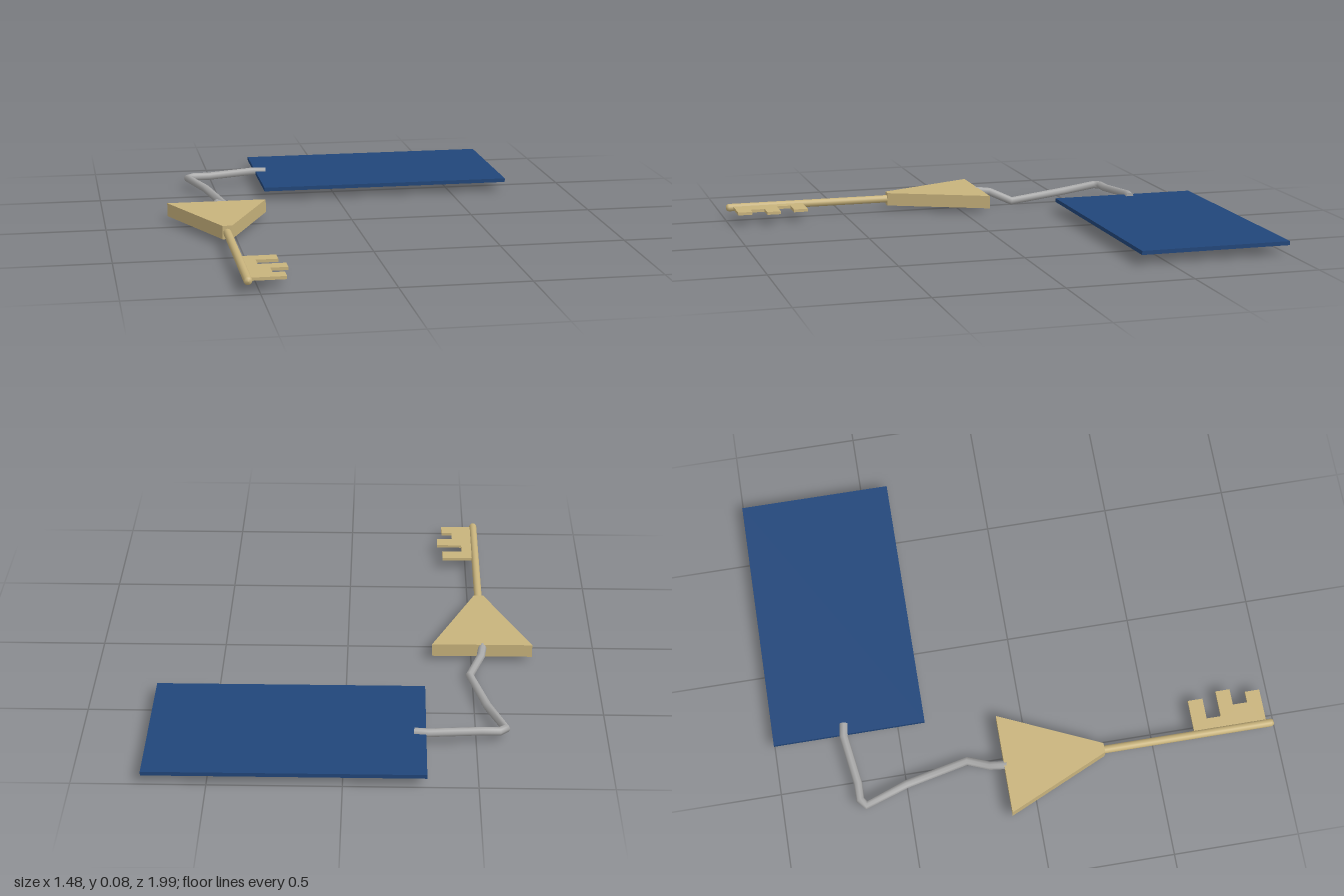
import * as THREE from 'three';

const material = (name, color, options = {}) => {
  const m = new THREE.MeshStandardMaterial({ color, ...options });
  m.name = name;
  return m;
};

export function createModel() {
  const group = new THREE.Group();
  const brass = material('brass', 0xc8b37c);
  const blue = material('blue', 0x21467a);
  const grey = material('grey', 0xa8a8a8);

  const add = (name, geometry, mat, x = 0, y = 0, z = 0) => {
    const mesh = new THREE.Mesh(geometry, mat);
    mesh.name = name;
    mesh.position.set(x, y, z);
    group.add(mesh);
    return mesh;
  };

  // Horizontal plate from an [x, z] outline, rising from its base
  const plate = (outline, depth) => {
    const shape = new THREE.Shape(outline.map(([x, z]) => new THREE.Vector2(x, -z)));
    return new THREE.ExtrudeGeometry(shape, { depth, bevelEnabled: false }).rotateX(-Math.PI / 2);
  };

  const keyX = -0.543, keyY = 0.048;

  // Tag card
  add('card', new THREE.BoxGeometry(1.05, 0.016, 0.61), blue, 0.215, keyY, -0.695);

  // Wedge-shaped key head
  add('keyHead', plate([[-0.745, -0.105], [-0.341, -0.105], [-0.524, 0.3], [-0.562, 0.3]], 0.054),
    brass, 0, 0.022, 0);

  // Round shaft with a softened tip
  const r = 0.016;
  const profile = [[0, 0], [r, 0], [r, 0.702], [0.012, 0.711], [0, 0.714]]
    .map(([x, y]) => new THREE.Vector2(x, y));
  add('keyShaft', new THREE.LatheGeometry(profile, 16).rotateX(Math.PI / 2), brass, keyX, keyY, 0.28);

  // Toothed bit
  add('keyBit', plate([
    [keyX, 0.67], [-0.4, 0.67], [-0.4, 0.73], [-0.485, 0.73], [-0.485, 0.788], [-0.379, 0.788],
    [-0.379, 0.846], [-0.445, 0.846], [-0.445, 0.905], [-0.4, 0.905], [-0.4, 0.964], [keyX, 0.964],
  ], 0.012), brass, 0, keyY - 0.006, 0);

  // Bent cord, one tube segment between each pair of points
  const points = [
    [-0.545, 0.062, -0.095], [-0.536, 0.055, -0.16], [-0.49, 0.018, -0.246], [-0.55, 0.036, -0.5],
    [-0.612, 0.045, -0.668], [-0.587, 0.046, -0.69], [-0.52, 0.046, -0.69], [-0.32, 0.055, -0.719],
    [-0.265, 0.054, -0.712],
  ].map((p) => new THREE.Vector3(...p));
  const path = new THREE.CatmullRomCurve3(points);
  path.getPointAt = path.getPoint;
  path.getTangentAt = path.getTangent;
  add('cord', new THREE.TubeGeometry(path, points.length - 1, 0.017, 8), grey);

  // Closed cord ends
  [[0, -1], [1, 1]].forEach(([t, side]) => {
    const cap = add('cordEnd', new THREE.CircleGeometry(0.017, 8), grey);
    cap.position.copy(path.getPoint(t));
    cap.quaternion.setFromUnitVectors(new THREE.Vector3(0, 0, 1),
      path.getTangent(t).multiplyScalar(side).normalize());
  });

  return group;
}
